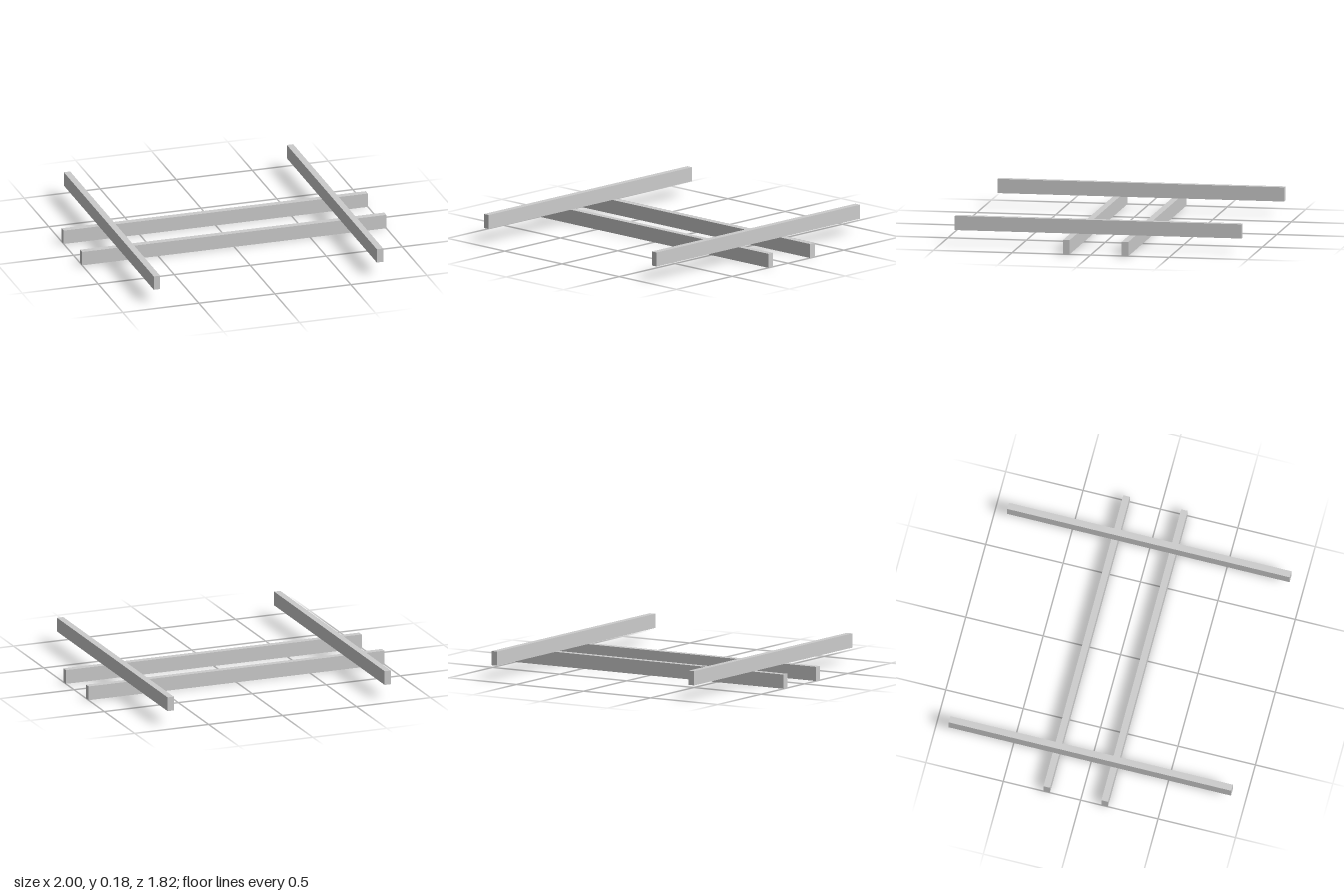
import * as THREE from 'three';

export function createModel() {
  const model = new THREE.Group();
  const material = new THREE.MeshStandardMaterial({ color: 0xcccccc, flatShading: true });
  const thickness = 0.042;
  const height = 0.09;

  function addBeam(name, width, depth, x, y, z) {
    const beam = new THREE.Mesh(new THREE.BoxGeometry(width, height, depth), material);
    beam.name = name;
    beam.position.set(x, y, z);
    model.add(beam);
  }

  // Two lower beams running side to side
  addBeam('frontLowerBeam', 2, thickness, 0, height / 2, 0.155);
  addBeam('backLowerBeam', 2, thickness, 0, height / 2, -0.219);

  // Two upper beams laid across them, front to back
  addBeam('leftUpperBeam', thickness, 1.824, 0.72, height * 1.5, 0);
  addBeam('rightUpperBeam', thickness, 1.824, -0.747, height * 1.5, 0);

  return model;
}
